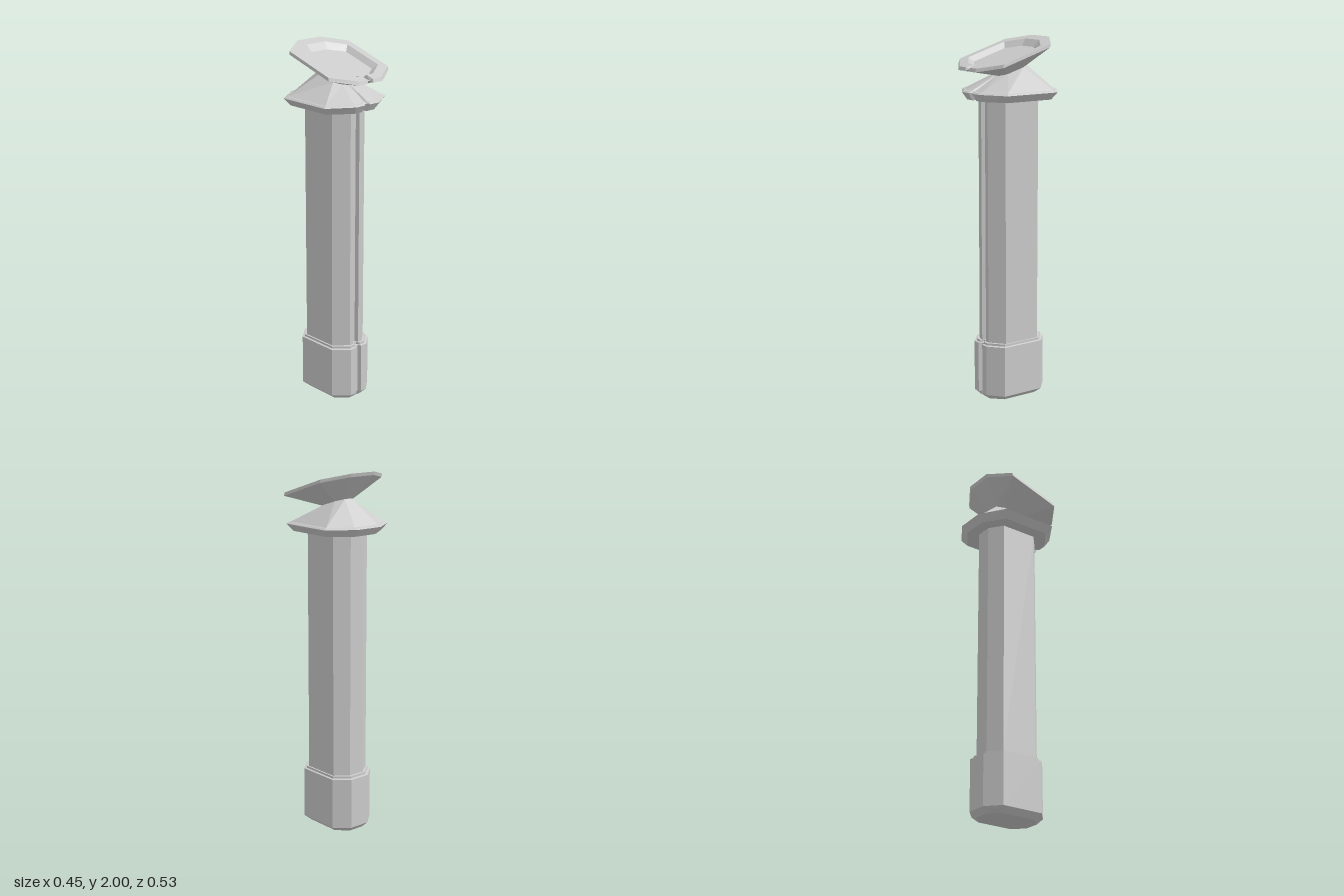
import * as THREE from 'three';

const material = new THREE.MeshStandardMaterial({ color: 0xcccccc, flatShading: true });
const GROOVE_OUT = 0.019, GROOVE_IN = 0.011;

// Elongated octagon with a narrow groove in its front edge.
// hx: half width, cx: half width of front/back edge, zf/zb: front/back,
// czf/czb: chamfer corners, slope: forward tilt, gz/drop: groove floor position
function ring({ y, hx, cx, zf, zb, czf, czb, slope = 0, gz = zf - 0.02, drop = 0 }) {
  const half = [[GROOVE_IN, gz, drop], [GROOVE_OUT, zf, 0], [cx, zf, 0], [hx, czf, 0], [hx, czb, 0], [cx, zb, 0]];
  const other = half.map(([x, z, d]) => [-x, z, d]).reverse();
  const points = [...half, ...other].map(([x, z, d]) => new THREE.Vector3(x, y - slope * z - d, z));
  const zc = (zf + zb) / 2;
  return { points, centre: new THREE.Vector3(0, y - slope * zc, zc) };
}

// Joins rings from bottom to top, with optional end caps
function loft(name, rings, capBottom = false, capTop = false) {
  const verts = [];
  const tri = (...p) => p.forEach(v => verts.push(v.x, v.y, v.z));
  const n = rings[0].points.length;
  for (let i = 0; i < n; i++) {
    const j = (i + 1) % n;
    for (let k = 0; k < rings.length - 1; k++) {
      const a = rings[k].points, b = rings[k + 1].points;
      tri(a[i], a[j], b[j]);
      tri(a[i], b[j], b[i]);
    }
    const lo = rings[0], hi = rings[rings.length - 1];
    if (capBottom) tri(lo.centre, lo.points[j], lo.points[i]);
    if (capTop) tri(hi.centre, hi.points[i], hi.points[j]);
  }
  const geometry = new THREE.BufferGeometry();
  geometry.setAttribute('position', new THREE.Float32BufferAttribute(verts, 3));
  geometry.computeVertexNormals();
  const mesh = new THREE.Mesh(geometry, material);
  mesh.name = name;
  return mesh;
}

export function createModel() {
  const group = new THREE.Group();
  group.name = 'pedestal';

  const shaft = { hx: 0.12, cx: 0.045, zf: 0.16, zb: -0.17, czf: 0.095, czb: -0.115 };
  const foot = { hx: 0.14, cx: 0.06, zf: 0.185, zb: -0.2, czf: 0.115, czb: -0.13 };
  const ledge = { hx: 0.129, cx: 0.052, zf: 0.174, zb: -0.186, czf: 0.105, czb: -0.122 };
  const shaftFoot = ring({ y: 0.33, ...shaft });
  const shaftHead = ring({ y: 1.675, ...shaft });
  const neck = ring({ y: 1.823, slope: 0.31, hx: 0.06, cx: 0.025, zf: 0.075, zb: -0.1, czf: 0.04, czb: -0.06 });

  // Chamfered foot block with a small ledge
  const base = loft('base', [
    ring({ y: 0, hx: 0.105, cx: 0.045, zf: 0.155, zb: -0.17, czf: 0.095, czb: -0.11, gz: 0.155 }),
    ring({ y: 0.03, ...foot }),
    ring({ y: 0.315, ...foot }),
    ring({ y: 0.318, ...ledge }),
    ring({ y: 0.33, ...ledge }),
    shaftFoot,
  ], true);

  const column = loft('shaft', [shaftFoot, shaftHead]);

  // Flared collar tapering to the tilted neck
  const collar = loft('collar', [
    shaftHead,
    ring({ y: 1.675, hx: 0.19, cx: 0.07, zf: 0.215, zb: -0.235, czf: 0.13, czb: -0.15 }),
    ring({ y: 1.715, hx: 0.223, cx: 0.083, zf: 0.24, zb: -0.265, czf: 0.15, czb: -0.17 }),
    ring({ y: 1.722, hx: 0.213, cx: 0.081, zf: 0.23, zb: -0.253, czf: 0.143, czb: -0.162 }),
    ring({ y: 1.725, hx: 0.203, cx: 0.079, zf: 0.218, zb: -0.24, czf: 0.137, czb: -0.155 }),
    neck,
  ]);

  // Tilted dish: underside, rim, recess wall and floor
  const slope = 0.316;
  const dish = loft('dish', [
    neck,
    ring({ y: 1.916, slope, hx: 0.217, cx: 0.083, zf: 0.262, zb: -0.207, czf: 0.175, czb: -0.122, gz: 0.24 }),
    ring({ y: 1.933, slope, hx: 0.215, cx: 0.082, zf: 0.255, zb: -0.213, czf: 0.17, czb: -0.127, gz: 0.238, drop: 0.014 }),
    ring({ y: 1.933, slope, hx: 0.171, cx: 0.065, zf: 0.21, zb: -0.16, czf: 0.142, czb: -0.092, gz: 0.19, drop: 0.028 }),
    ring({ y: 1.905, slope, hx: 0.145, cx: 0.055, zf: 0.182, zb: -0.13, czf: 0.122, czb: -0.075, gz: 0.16 }),
  ], false, true);

  group.add(base, column, collar, dish);
  return group;
}
